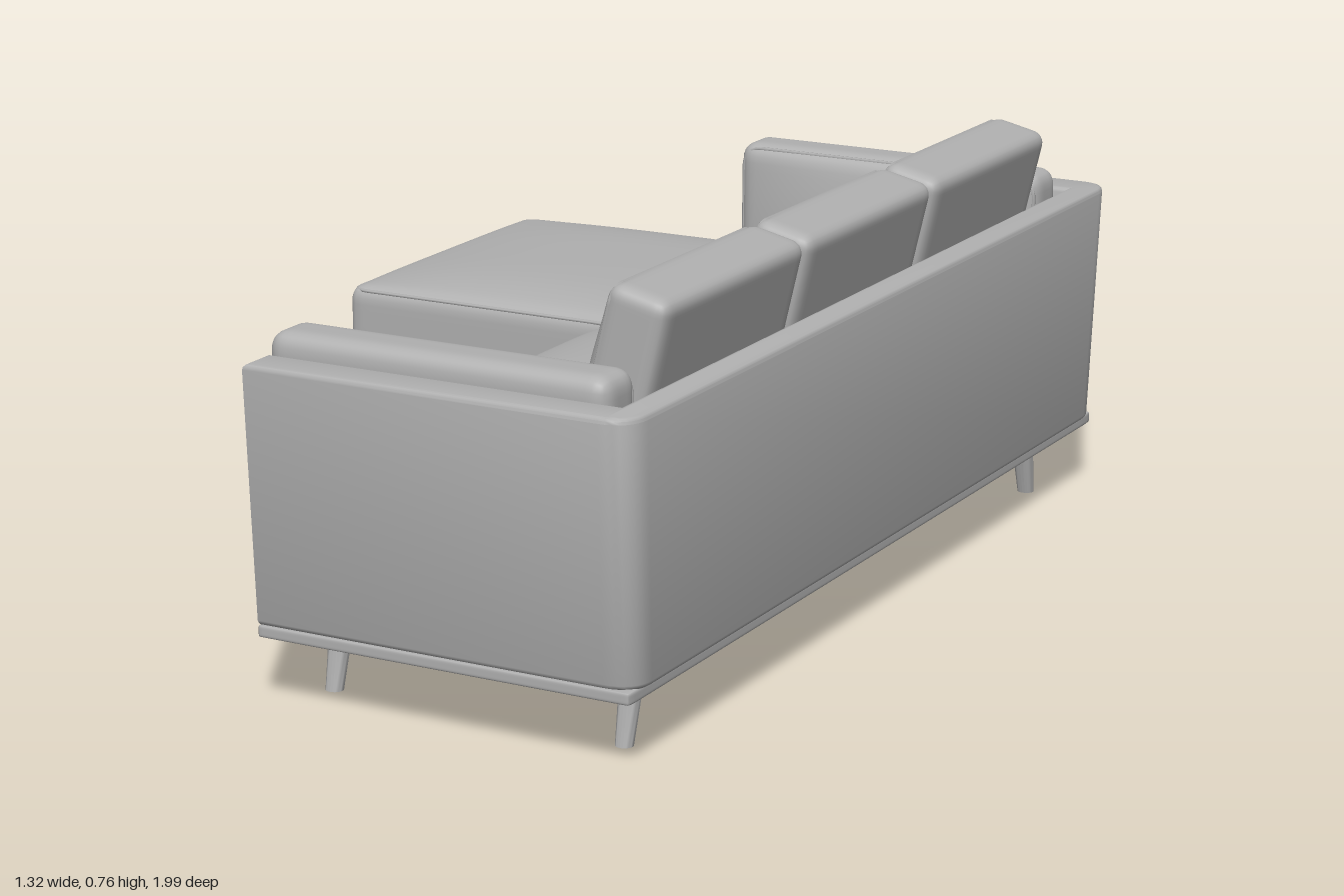
import * as THREE from 'three';
import { mergeVertices, toCreasedNormals } from 'three/addons/utils/BufferGeometryUtils.js';

const fabric = new THREE.MeshStandardMaterial({ color: 0xb0b0b0 });
fabric.name = 'grey upholstery';

function addMesh(parent, geometry, name, x = 0, y = 0, z = 0) {
  const mesh = new THREE.Mesh(geometry, fabric);
  mesh.name = name;
  mesh.position.set(x, y, z);
  parent.add(mesh);
  return mesh;
}

// Rounded block whose local top swells by `crown`; warp(v) reshapes it further.
function paddedBlock(w, h, d, r, crown = 0, power = 4, warp = null) {
  let geo = new THREE.BoxGeometry(2, 2, 2, 40, 12, 28);
  geo.deleteAttribute('uv');
  geo.deleteAttribute('normal');
  geo = mergeVertices(geo, 1e-4);
  const half = new THREE.Vector3(w / 2, h / 2, d / 2);
  const core = half.clone().subScalar(r);
  const low = core.clone().negate();
  const v = new THREE.Vector3(), inner = new THREE.Vector3();
  const spread = t => Math.sign(t) * (1 - Math.pow(1 - Math.min(1, Math.abs(t)), 1.5));
  const pos = geo.attributes.position;
  for (let i = 0; i < pos.count; i++) {
    v.fromBufferAttribute(pos, i);
    v.set(spread(v.x), spread(v.y), spread(v.z)).multiply(half);
    inner.copy(v).clamp(low, core);
    v.sub(inner).normalize().multiplyScalar(r).add(inner);
    const swell = (1 - Math.abs(v.x / half.x) ** power) * (1 - Math.abs(v.z / half.z) ** power);
    v.y += crown * swell * Math.max(0, v.y / half.y);
    if (warp) warp(v);
    pos.setXYZ(i, v.x, v.y, v.z);
  }
  geo.computeVertexNormals();
  return geo;
}

// Thin cord following the upper edge of a padded block.
function piping(w, h, d, r, warp) {
  const points = [], inset = r * 0.3, c = r * 1.1;
  const x = w / 2 - inset, z = d / 2 - inset, steps = 30;
  const corners = [[x - c, z - c, 0], [-x + c, z - c, 1], [-x + c, -z + c, 2], [x - c, -z + c, 3]];
  corners.forEach(([cx, cz, q], k) => {
    for (let i = 0; i <= 4; i++) {
      const a = (q + i / 4) * Math.PI / 2;
      points.push(new THREE.Vector3(cx + c * Math.cos(a), h / 2 - inset, cz + c * Math.sin(a)));
    }
    const from = points[points.length - 1].clone();
    const [nx, nz, nq] = corners[(k + 1) % 4];
    const a = nq * Math.PI / 2;
    const to = new THREE.Vector3(nx + c * Math.cos(a), from.y, nz + c * Math.sin(a));
    for (let i = 1; i < steps; i++) points.push(from.clone().lerp(to, i / steps));
  });
  if (warp) points.forEach(warp);
  return new THREE.TubeGeometry(new THREE.CatmullRomCurve3(points, true), 240, 0.004, 6, true);
}

function cushion(parent, name, [w, h, d], r, crown, power, warp) {
  const group = new THREE.Group();
  group.name = name;
  addMesh(group, paddedBlock(w, h, d, r, crown, power, warp), name + 'Body');
  addMesh(group, piping(w, h, d, r, warp), name + 'Piping');
  parent.add(group);
  return group;
}

// Outer U-shaped shell: back and both arms, narrowing towards the floor.
function shellGeometry() {
  const b = 0.01, front = -0.07 + b, back = 0.66 - b, side = 0.995 - b, c = 0.05;
  const s = new THREE.Shape();
  s.moveTo(front, -side);
  s.lineTo(back - c, -side);
  s.quadraticCurveTo(back, -side, back, -side + c);
  s.lineTo(back, side - c);
  s.quadraticCurveTo(back, side, back - c, side);
  s.lineTo(front, side);
  s.lineTo(front, 0.925);
  s.lineTo(0.61, 0.925);
  s.lineTo(0.61, -0.925);
  s.lineTo(front, -0.925);
  s.closePath();
  const geo = new THREE.ExtrudeGeometry(s, {
    depth: 0.465 - 2 * b, bevelSize: b, bevelThickness: b, bevelSegments: 3, curveSegments: 8,
  });
  geo.rotateX(-Math.PI / 2).translate(0, 0.14 + b, 0);
  const pos = geo.attributes.position;
  for (let i = 0; i < pos.count; i++) {
    const drop = (0.605 - pos.getY(i)) / 0.465;
    pos.setZ(i, pos.getZ(i) * (1 - 0.033 * drop));
    if (pos.getX(i) > 0.3) pos.setX(i, pos.getX(i) - 0.006 * drop);
  }
  return toCreasedNormals(geo, 0.6);
}

// Tapered leg whose foot is pushed sideways by `splay`.
function leg(parent, x, z, splay, taper = true) {
  const geo = new THREE.CylinderGeometry(0.022, taper ? 0.016 : 0.019, 0.125, 20);
  const pos = geo.attributes.position;
  for (let i = 0; i < pos.count; i++) {
    if (pos.getY(i) < 0) pos.setZ(i, pos.getZ(i) + splay);
  }
  geo.computeVertexNormals();
  addMesh(parent, toCreasedNormals(geo, 0.7), 'leg', x, 0.0625, z);
}

export function createModel() {
  const sofa = new THREE.Group();
  sofa.name = 'cornerSofa';

  // Frame and plinths
  addMesh(sofa, shellGeometry(), 'shell');
  addMesh(sofa, paddedBlock(0.715, 0.024, 1.93, 0.006), 'mainPlinth', 0.2875, 0.132, 0);
  addMesh(sofa, paddedBlock(0.67, 0.125, 1.8, 0.02), 'seatBase', 0.275, 0.2025, 0);
  addMesh(sofa, paddedBlock(0.525, 0.024, 0.66, 0.006), 'chaisePlinth', -0.3725, 0.132, -0.62);
  addMesh(sofa, paddedBlock(0.55, 0.118, 0.69, 0.025), 'chaiseBase', -0.365, 0.202, -0.62);

  // Padded inner arms
  for (const side of [1, -1]) {
    const pad = cushion(sofa, side > 0 ? 'leftArmPad' : 'rightArmPad', [0.65, 0.11, 0.5], 0.032, 0.035, 2);
    pad.position.set(0.253, 0.395, side * 0.868);
    pad.rotation.x = -side * Math.PI / 2;
  }

  // Seat cushions
  for (const z of [0.005, 0.525]) {
    cushion(sofa, 'seatCushion', [0.585, 0.13, 0.515], 0.028, 0.03, 4).position.set(0.2175, 0.33, z);
  }

  // Chaise cushion: its far edge steps in to pass between the arm and the next seat
  const depth = 0.71, narrow = 0.525;
  const stepIn = v => {
    const t = THREE.MathUtils.smoothstep(v.x, 0.445, 0.5) - 0;
    const s = THREE.MathUtils.smoothstep(v.x, -0.025, 0.005);
    const d = THREE.MathUtils.lerp(depth, narrow, Math.max(s, t));
    v.z = depth / 2 - (depth / 2 - v.z) * d / depth;
  };
  cushion(sofa, 'chaiseCushion', [1.17, 0.13, depth], 0.028, 0.03, 4, stepIn)
    .position.set(-0.078, 0.33, -0.62);

  // Leaning back cushions, fuller towards the bottom
  const sag = v => { if (v.y > 0.0575) v.y += (v.y - 0.0575) * -v.x * 1.6; };
  for (const z of [-0.528, -0.002, 0.522]) {
    const back = cushion(sofa, 'backCushion', [0.36, 0.115, 0.515], 0.025, 0.07, 2, sag);
    back.position.set(0.516, 0.578, z);
    back.rotation.z = THREE.MathUtils.degToRad(77);
  }

  // Legs
  for (const x of [0, 0.565]) {
    for (const side of [1, -1]) leg(sofa, x, side * 0.807, side * 0.028);
  }
  for (const x of [-0.553, -0.156]) {
    leg(sofa, x, -0.385, 0.028);
    leg(sofa, x, -0.86, -0.028);
  }
  leg(sofa, 0.205, 0.005, 0, false);

  return sofa;
}
